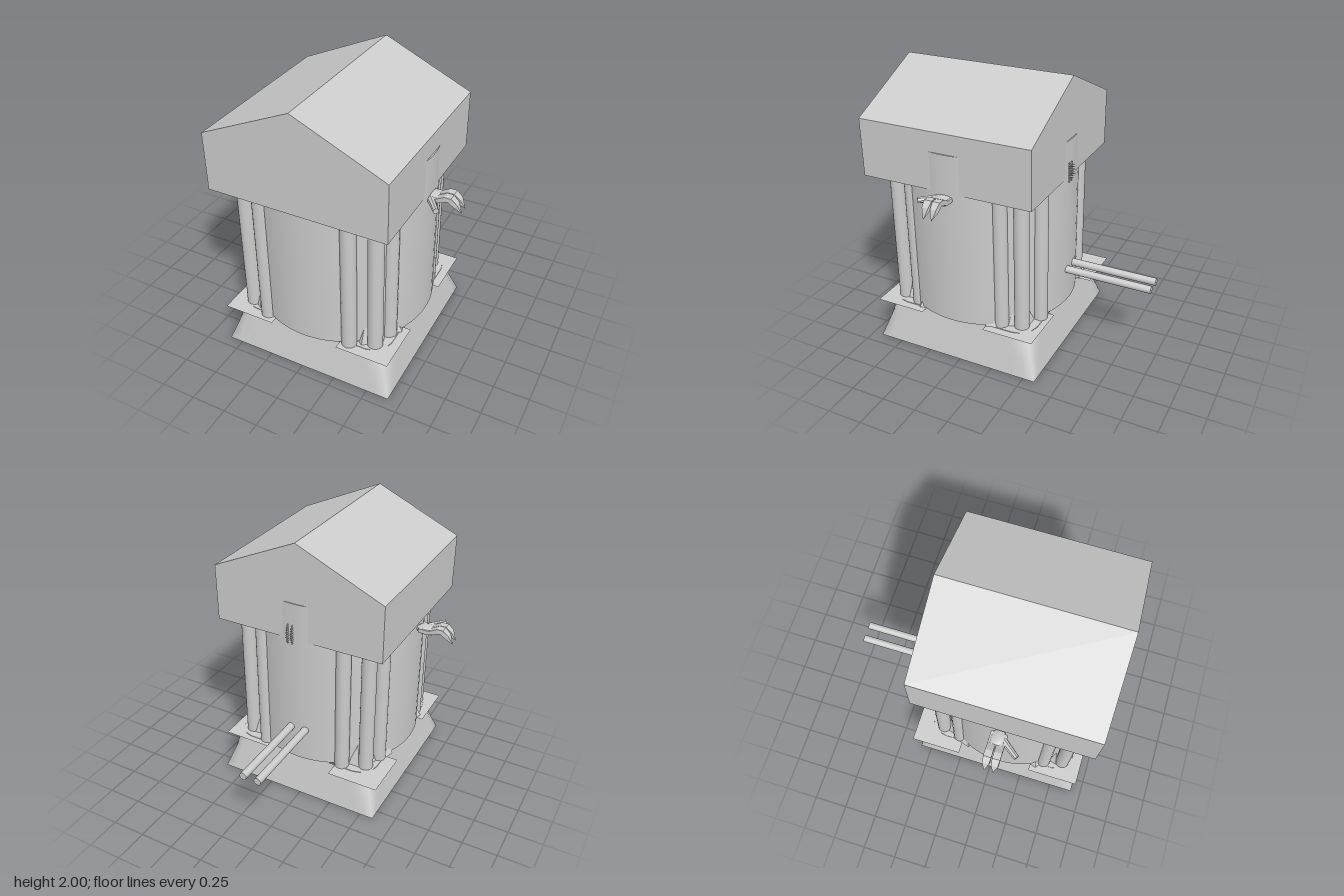
import * as THREE from 'three';

const CX = 0.02, CZ = 0.31; // axis of the tower
const grey = new THREE.MeshStandardMaterial({ color: 0xcccccc });
const thin = new THREE.MeshStandardMaterial({ color: 0xcccccc, side: THREE.DoubleSide });
const flat = new THREE.MeshStandardMaterial({ color: 0xcccccc, flatShading: true });

export function createModel() {
  const model = new THREE.Group();
  const add = (name, geo, x = 0, y = 0, z = 0, mat = grey, parent = model) => {
    const m = new THREE.Mesh(geo, mat);
    m.name = name;
    m.position.set(x, y, z);
    parent.add(m);
    return m;
  };
  const polygon = (pts) => new THREE.Shape(pts.map(([x, y]) => new THREE.Vector2(x, y)));
  const corners = [[-1, -1], [-1, 1], [1, -1], [1, 1]];

  // Gabled roof block
  add('roof', new THREE.ExtrudeGeometry(
    polygon([[-0.61, 1.305], [0.645, 1.305], [0.645, 1.715], [CX, 2], [-0.61, 1.715]]),
    { depth: 1.255, bevelEnabled: false }), 0, 0, -0.31);

  // Round tower, running up into the roof
  add('tower', new THREE.CylinderGeometry(0.628, 0.628, 1.255, 64), 0.027, 0.9475, CZ);

  // Open skirt: square at the ground, rounded square at the top
  add('baseSkirt', skirtGeometry(), 0.03, 0, 0.295, thin);
  const ceiling = add('baseCeiling', new THREE.PlaneGeometry(1.1, 1.1), 0.03, 0.312, 0.3, thin);
  ceiling.rotation.x = -Math.PI / 2;

  for (const [sx, sz] of corners) {
    // Three columns round every corner
    for (const [dx, dz] of [[0.315, 0.54], [0.475, 0.475], [0.51, 0.335]]) {
      add('column', new THREE.CylinderGeometry(0.053, 0.053, 1.01, 20), CX + sx * dx, 0.805, CZ + sz * dz);
    }
    // Thin corner ledge; the back right one reaches further out
    const far = sx < 0 && sz < 0;
    const ex = sx < 0 ? (far ? -0.63 : -0.6) : 0.65;
    const ez = sz < 0 ? (far ? -0.37 : -0.31) : 0.93;
    const ledge = add('cornerLedge', new THREE.PlaneGeometry(0.375, 0.375), ex - sx * 0.1875, 0.308, ez - sz * 0.1875, thin);
    ledge.rotation.x = -Math.PI / 2;
    // Jagged rubble between the columns
    for (const [dx, dz, h, r] of [[0.45, 0.41, 0.2, 0.07], [0.4, 0.46, 0.2, 0.07], [0.52, 0.27, 0.12, 0.07]]) {
      add('rubble', new THREE.ConeGeometry(r, h, 5), CX + sx * dx, 0.31 + h / 2, CZ + sz * dz, flat);
    }
  }

  // Two pipes out of the back
  for (const x of [-0.04, 0.072]) {
    const pipe = add('backPipe', new THREE.CylinderGeometry(0.027, 0.027, 0.7, 20), x, 0.58, -0.595);
    pipe.rotation.x = Math.PI / 2;
  }

  // Clawed hands, one per side
  for (const s of [1, -1]) {
    const hand = new THREE.Group();
    hand.name = s > 0 ? 'leftHand' : 'rightHand';
    hand.position.set(0.0, 0, CZ);
    hand.rotation.y = s > 0 ? 0 : Math.PI;
    model.add(hand);
    const palm = add('palm', new THREE.SphereGeometry(1, 14, 10), 0.66, 1.265, 0, grey, hand);
    palm.scale.set(0.07, 0.03, 0.06);
    for (const z of [-0.03, 0.03]) {
      add('finger', fingerGeometry(), 0, 0, z, flat, hand);
      const knuckle = add('knuckle', new THREE.CapsuleGeometry(0.022, 0.06, 4, 10), 0.68, 1.268, z, grey, hand);
      knuckle.rotation.z = Math.PI / 2;
    }
    const thumb = add('thumb', new THREE.CylinderGeometry(0.02, 0.026, 0.14, 8), 0.7, 1.265, s * 0.095, flat, hand);
    thumb.quaternion.setFromUnitVectors(new THREE.Vector3(0, 1, 0), new THREE.Vector3(0.6, 0, s * 0.8).normalize());
  }

  // Two rows of small spikes on the back of the roof
  for (let i = 0; i < 9; i++) {
    for (const x of [0.045, 0.08]) {
      const len = 0.02 + 0.035 * Math.sin(Math.PI * (i + 0.5) / 9) * (i % 2 ? 1 : 0.7);
      const spike = add('backSpike', new THREE.ConeGeometry(0.008, len, 5), x, 1.275 + i * 0.017, -0.308 - len / 2, flat);
      spike.rotation.x = -Math.PI / 2;
    }
  }
  return model;
}

// Curled finger with a tip that narrows to a point
function fingerGeometry() {
  const outline = [[0.62, 1.255], [0.7, 1.255], [0.78, 1.285], [0.825, 1.255], [0.868, 1.213],
    [0.84, 1.28], [0.8, 1.315], [0.755, 1.315], [0.7, 1.285], [0.62, 1.285]];
  const geo = new THREE.ExtrudeGeometry(
    new THREE.Shape(outline.map(([x, y]) => new THREE.Vector2(x, y))), { depth: 0.054, bevelEnabled: false });
  geo.translate(0, 0, -0.027);
  const p = geo.attributes.position;
  for (let i = 0; i < p.count; i++) {
    if (p.getX(i) > 0.835) p.setZ(i, p.getZ(i) * Math.max(0.05, (0.868 - p.getX(i)) / 0.033));
  }
  geo.computeVertexNormals();
  return geo;
}

// Skirt lofted between two superellipse-like rings
function skirtGeometry() {
  const around = 96, rows = 6, pos = [], idx = [];
  for (let j = 0; j <= rows; j++) {
    const t = j / rows, half = 0.63 - 0.07 * t, round = 0.14 * t;
    for (let i = 0; i <= around; i++) {
      // walk the square, then pull its corners in to a rounded corner
      const a = (i / around) * Math.PI * 2, c = Math.cos(a), s = Math.sin(a);
      const k = half / Math.max(Math.abs(c), Math.abs(s));
      let x = c * k, z = s * k;
      const inner = half - round;
      const dx = Math.max(0, Math.abs(x) - inner), dz = Math.max(0, Math.abs(z) - inner);
      if (dx > 0 && dz > 0) {
        const f = round / Math.hypot(dx, dz);
        x = Math.sign(x) * (inner + dx * f);
        z = Math.sign(z) * (inner + dz * f);
      }
      pos.push(x, t * 0.312, z);
      if (j < rows && i < around) {
        const p = j * (around + 1) + i, q = p + around + 1;
        idx.push(p, q, p + 1, p + 1, q, q + 1);
      }
    }
  }
  const geo = new THREE.BufferGeometry();
  geo.setAttribute('position', new THREE.Float32BufferAttribute(pos, 3));
  geo.setIndex(idx);
  geo.computeVertexNormals();
  return geo;
}
